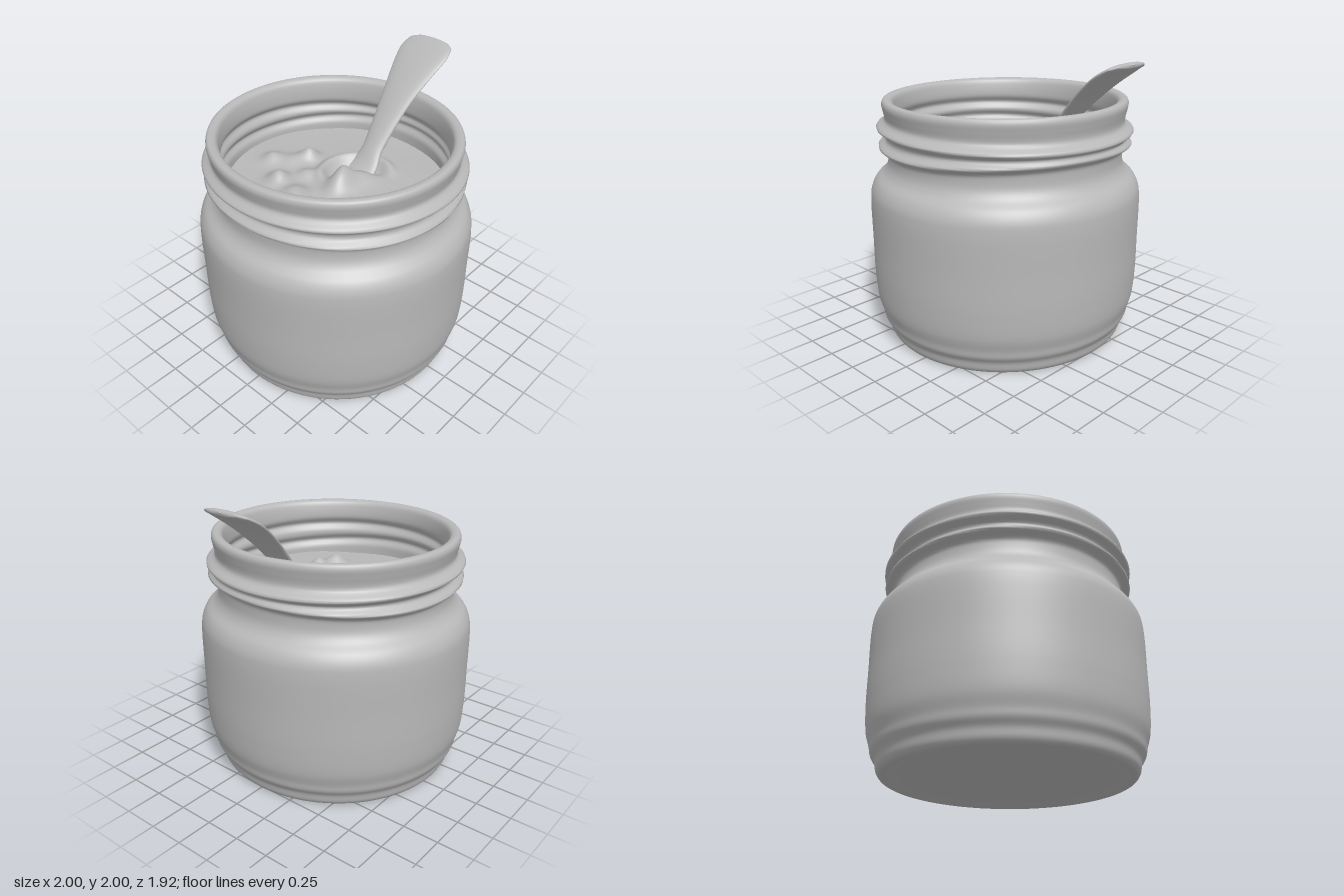
import * as THREE from 'three';
import { mergeVertices } from 'three/addons/utils/BufferGeometryUtils.js';

const JAR_X = -0.06, FILL_Y = 1.27;
const gauss = (d, s) => Math.exp(-(d * d) / (2 * s * s));

// Drop seams so the surface is shaded smoothly all round
function smooth(geo) {
  geo.deleteAttribute('uv');
  geo.deleteAttribute('normal');
  const merged = mergeVertices(geo, 1e-4);
  merged.computeVertexNormals();
  return merged;
}

// Move every vertex of a geometry by a rule
function reshape(geo, rule) {
  const p = geo.attributes.position, v = new THREE.Vector3();
  for (let i = 0; i < p.count; i++) {
    v.fromBufferAttribute(p, i);
    rule(v);
    p.setXYZ(i, v.x, v.y, v.z);
  }
  return smooth(geo);
}

// Jar: underside, outer wall, rim and inner wall in one profile, with screw threads
function jarGeometry() {
  const profile = [
    [0, 0.035], [0.4, 0.035], [0.7, 0.03], [0.78, 0.005], [0.82, 0.003], [0.845, 0.03],
    [0.86, 0.09], [0.89, 0.14], [0.9, 0.19], [0.925, 0.28], [0.938, 0.45], [0.94, 0.7],
    [0.94, 1.0], [0.93, 1.07], [0.9, 1.13], [0.84, 1.19], [0.815, 1.24], [0.81, 1.32],
    [0.82, 1.42], [0.82, 1.54], [0.832, 1.6], [0.84, 1.65], [0.828, 1.677], [0.8, 1.68],
    [0.772, 1.667], [0.755, 1.61], [0.75, 1.45], [0.75, 1.3], [0.75, 1.2],
  ].map(([r, y]) => new THREE.Vector3(r, y, 0));
  const pts = new THREE.CatmullRomCurve3(profile).getSpacedPoints(260)
    .map((p) => new THREE.Vector2(Math.max(0, p.x), p.y));
  return reshape(new THREE.LatheGeometry(pts, 96), (v) => {
    const r = Math.hypot(v.x, v.z);
    if (r > 0.7 && v.y > 1.2) {
      const a = Math.atan2(v.z, v.x);
      const low = 1.375 + 0.018 * Math.sin(a * 2 + 1);
      const high = 1.48 - 0.02 * Math.cos(a + 0.2);
      const bump = 0.058 * gauss(v.y - low, 0.021) + 0.062 * gauss(v.y - high, 0.023);
      const k = 1 + (r > 0.79 ? bump : bump * 0.5) / r;
      v.x *= k;
      v.z *= k;
    }
    v.z *= 1.02;
  });
}

// Lumps in the filling: x, z, radius, height
const LUMPS = [
  [-0.15, -0.53, 0.05, 0.05], [0.05, -0.35, 0.045, 0.08], [-0.31, -0.3, 0.055, 0.08],
  [-0.55, -0.32, 0.04, 0.06], [-0.4, 0.26, 0.055, 0.08], [-0.24, 0.3, 0.05, 0.08],
  [-0.36, -0.09, 0.07, 0.06], [-0.43, 0.0, 0.05, 0.03], [-0.05, 0.06, 0.07, 0.11],
  [0.0, 0.0, 0.04, 0.05], [-0.13, -0.2, 0.05, 0.04], [-0.07, -0.4, 0.06, 0.035],
  [-0.15, 0.08, 0.06, 0.05], [0.08, 0.12, 0.06, 0.04],
];

function fillingHeight(x, z) {
  let y = FILL_Y + 0.007 * Math.sin(7 * x + 2 * z) * Math.cos(6 * z - x);
  for (const [lx, lz, s, h] of LUMPS) y += h * gauss(Math.hypot(x - lx, z - lz), s);
  // Crescent ridge and hollow left around the spoon bowl
  const dx = x - 0.08, dz = z - 0.07, d = Math.hypot(dx, dz);
  const around = Math.atan2(-dz, dx); // 0 at the handle, positive to the back
  const fade = THREE.MathUtils.smoothstep(around, -1.0, -0.2)
    * (1 - THREE.MathUtils.smoothstep(around, 2.2, 3.0));
  y += fade * (0.05 * gauss(d - 0.25, 0.03) - 0.035 * gauss(d - 0.16, 0.05));
  return y;
}

function fillingGeometry() {
  const rings = 64, pts = [];
  for (let i = 0; i <= rings; i++) pts.push(new THREE.Vector2(0.77 * (1 - i / rings), 0));
  return reshape(new THREE.LatheGeometry(pts, 120), (v) => {
    v.y = fillingHeight(v.x + JAR_X, v.z);
  });
}

// Spoon handle: rounded cross-sections swept along a curve in the x-y plane
function handleGeometry() {
  // x, y, half width, half thickness
  const stations = [
    [0.12, 1.2, 0.12, 0.02], [0.24, 1.27, 0.11, 0.03], [0.33, 1.37, 0.085, 0.035],
    [0.45, 1.52, 0.1, 0.032], [0.59, 1.68, 0.13, 0.03], [0.75, 1.83, 0.175, 0.029],
    [0.87, 1.92, 0.2, 0.027], [0.95, 1.967, 0.18, 0.024], [0.985, 1.982, 0.12, 0.018],
    [0.997, 1.987, 0.003, 0.003],
  ];
  const path = new THREE.CatmullRomCurve3(stations.map(([x, y]) => new THREE.Vector3(x, y, 0.005)));
  const size = new THREE.CatmullRomCurve3(stations.map(([, , w, t]) => new THREE.Vector3(w, t, 0)));
  const n = 54, sides = 28, pos = [], index = [];
  for (let i = 0; i <= n; i++) {
    const c = path.getPoint(i / n), t = path.getTangent(i / n), s = size.getPoint(i / n);
    for (let j = 0; j < sides; j++) {
      const a = (j / sides) * Math.PI * 2;
      const up = Math.sin(a) * s.y, side = Math.cos(a) * s.x;
      pos.push(c.x - t.y * up, c.y + t.x * up, c.z + side);
      if (i < n) {
        const p = i * sides + j, q = i * sides + ((j + 1) % sides);
        index.push(p, p + sides, q, q, p + sides, q + sides);
      }
    }
  }
  const geo = new THREE.BufferGeometry();
  geo.setAttribute('position', new THREE.Float32BufferAttribute(pos, 3));
  geo.setIndex(index);
  geo.computeVertexNormals();
  return geo;
}

export function createModel() {
  const clay = new THREE.MeshStandardMaterial({ color: 0xb8b8b8 });
  clay.name = 'plain grey';
  const group = new THREE.Group();
  group.name = 'jarWithSpoon';
  const add = (name, geo, x) => {
    const mesh = new THREE.Mesh(geo, clay);
    mesh.name = name;
    mesh.position.x = x;
    group.add(mesh);
  };
  add('jar', jarGeometry(), JAR_X);
  add('filling', fillingGeometry(), JAR_X);
  add('spoonHandle', handleGeometry(), 0);
  return group;
}
